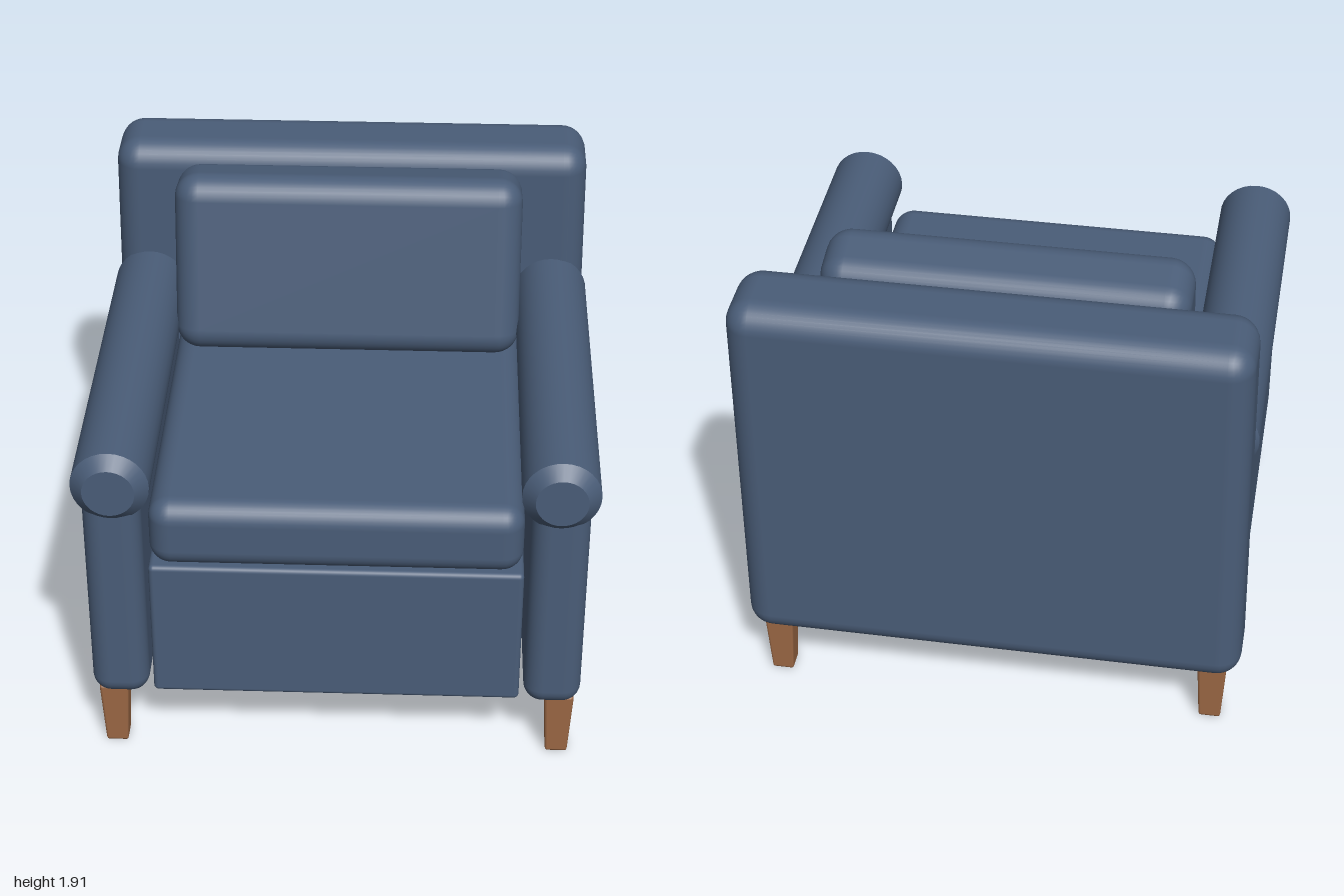
import * as THREE from 'three';
import { RoundedBoxGeometry } from 'three/addons/geometries/RoundedBoxGeometry.js';

export function createModel() {
  const chair = new THREE.Group();
  chair.name = 'armchair';

  const fabric = new THREE.MeshStandardMaterial({ color: 0x4a5d78 });
  fabric.name = 'blue fabric';
  const wood = new THREE.MeshStandardMaterial({ color: 0x9a6744 });
  wood.name = 'brown wood';

  const add = (name, geometry, material, x = 0, y = 0, z = 0) => {
    const mesh = new THREE.Mesh(geometry, material);
    mesh.name = name;
    mesh.position.set(x, y, z);
    chair.add(mesh);
    return mesh;
  };

  // Rounded box given by its limits on each axis
  const block = (name, [x0, x1], [y0, y1], [z0, z1], radius) =>
    add(name, new RoundedBoxGeometry(x1 - x0, y1 - y0, z1 - z0, 4, radius), fabric,
      (x0 + x1) / 2, (y0 + y1) / 2, (z0 + z1) / 2);

  // Seat base and cushions
  block('seatBase', [-0.725, 0.725], [0.28, 0.89], [-0.7, 0.915], 0.02);
  block('seatCushion', [-0.72, 0.72], [0.89, 1.18], [-0.62, 0.93], 0.085);
  const cushion = block('backCushion', [-0.71, 0.71], [1.155, 1.905], [-0.545, -0.24], 0.1);
  cushion.rotation.x = -0.195;

  // Backrest: narrows slightly, thickens and leans back towards the top
  const height = 1.64;
  const back = new RoundedBoxGeometry(2, height, 0.33, 4, 0.1);
  const p = back.attributes.position;
  for (let i = 0; i < p.count; i++) {
    const t = p.getY(i) / height + 0.5;
    p.setX(i, p.getX(i) * (1 - 0.02 * t));
    p.setZ(i, p.getZ(i) * (1 + 0.09 * t) - 0.045 * t);
  }
  add('backrest', back, fabric, 0, 0.27 + height / 2, -0.752);

  // Arms: upright panel with a chamfered roll on top
  const roll = (name, x, z0, z1, r0, r1, open) => {
    const geometry = new THREE.CylinderGeometry(r1, r0, z1 - z0, 32, 1, open);
    geometry.rotateX(Math.PI / 2);
    add(name, geometry, fabric, x, 1.275, (z0 + z1) / 2);
  };
  for (const [side, s] of [['left', 1], ['right', -1]]) {
    const xs = [0.742 * s, 0.968 * s].sort((a, b) => a - b);
    block(side + 'ArmPanel', xs, [0.27, 1.3], [-0.72, 0.947], 0.075);
    roll(side + 'ArmRoll', 0.85 * s, -0.62, 0.93, 0.15, 0.15, true);
    roll(side + 'ArmFrontEnd', 0.85 * s, 0.93, 0.978, 0.15, 0.1, false);
    roll(side + 'ArmRearEnd', 0.85 * s, -0.67, -0.62, 0.1, 0.15, false);
  }

  // Tapered legs with softened edges
  const leg = new RoundedBoxGeometry(0.118, 0.29, 0.116, 1, 0.012);
  const q = leg.attributes.position;
  for (let i = 0; i < q.count; i++) {
    const k = 0.87 + 0.9 * q.getY(i);
    q.setX(i, q.getX(i) * k);
    q.setZ(i, q.getZ(i) * k);
  }
  for (const x of [-0.886, 0.886]) {
    add('frontLeg', leg, wood, x, 0.145, 0.85);
    add('rearLeg', leg, wood, x, 0.145, -0.79);
  }

  return chair;
}
